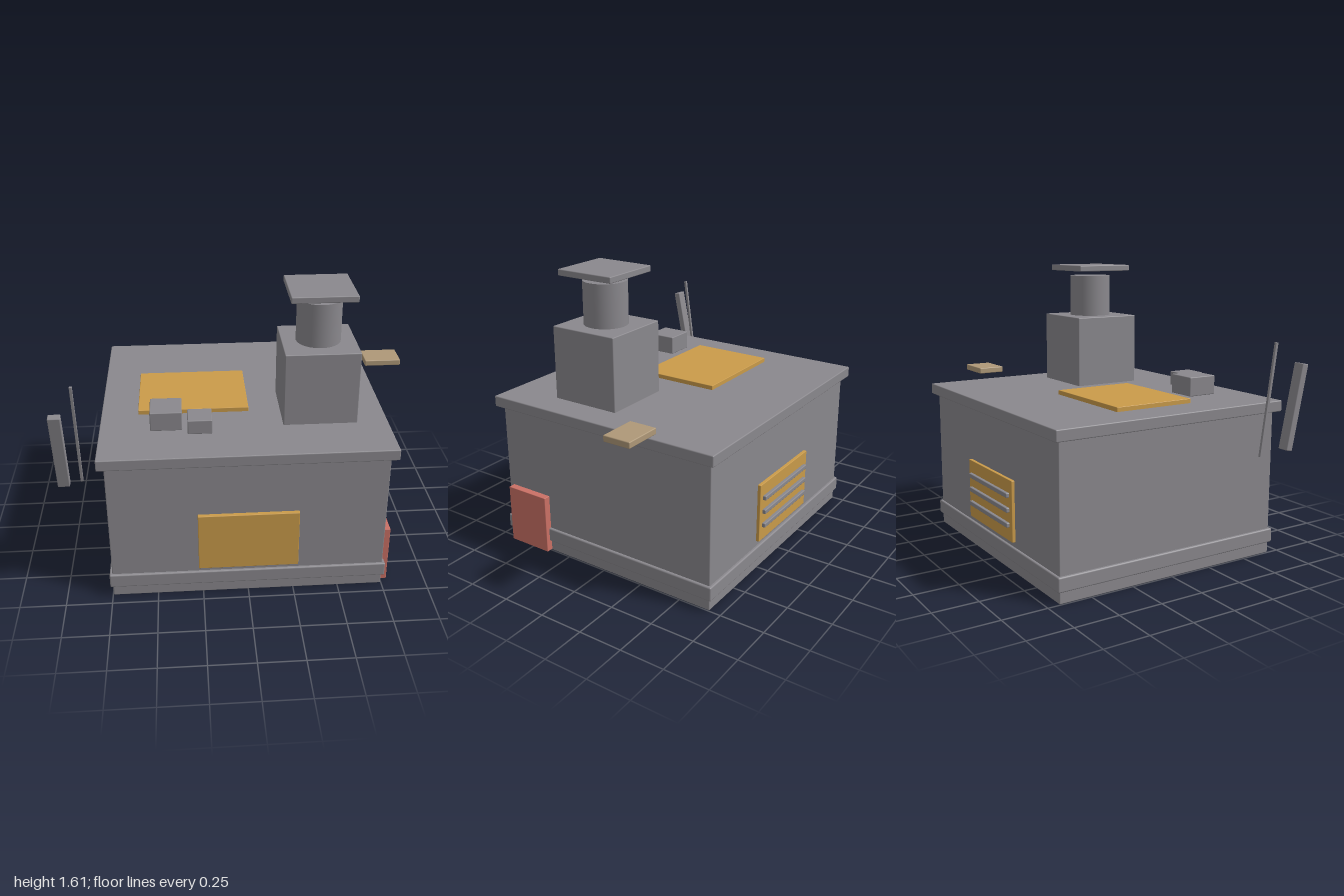
import * as THREE from 'three';
import { RoundedBoxGeometry } from 'three/addons/geometries/RoundedBoxGeometry.js';

export function createModel() {
  const model = new THREE.Group();
  model.name = 'rooftopUnit';

  const material = (name, color) => {
    const m = new THREE.MeshStandardMaterial({ color });
    m.name = name;
    return m;
  };
  const grey = material('grey metal', 0x8a888d);
  const ochre = material('ochre panel', 0xca9b4a);
  const red = material('red panel', 0xca7065);
  const tan = material('tan board', 0xae9878);

  // Softly bevelled box given by its limits on each axis
  const box = (name, mat, [x0, x1], [y0, y1], [z0, z1], bevel = 0.005) => {
    const geo = new RoundedBoxGeometry(x1 - x0, y1 - y0, z1 - z0, 2, bevel);
    const mesh = new THREE.Mesh(geo, mat);
    mesh.name = name;
    mesh.position.set((x0 + x1) / 2, (y0 + y1) / 2, (z0 + z1) / 2);
    model.add(mesh);
    return mesh;
  };

  // Main housing with plinth band and overhanging roof
  box('body', grey, [-0.746, 0.746], [0, 0.83], [-0.682, 0.682]);
  box('plinthBand', grey, [-0.761, 0.761], [0.065, 0.145], [-0.697, 0.697], 0.008);
  box('roofSlab', grey, [-0.782, 0.782], [0.825, 0.887], [-0.715, 0.715], 0.006);

  // Panels on the walls and roof
  box('frontPanel', ochre, [-0.272, 0.272], [0.175, 0.515], [0.675, 0.705], 0.003);
  box('backPanel', ochre, [-0.272, 0.272], [0.175, 0.515], [-0.7, -0.675], 0.003);
  box('roofPanel', ochre, [-0.578, 0.032], [0.88, 0.912], [-0.24, 0.236], 0.003);
  box('sidePanel', red, [0.73, 0.785], [0.005, 0.344], [0.382, 0.652], 0.003);

  // Vent slats across the back panel
  for (const y of [0.265, 0.348, 0.43]) {
    box('ventSlat', grey, [-0.242, 0.242], [y - 0.013, y + 0.013], [-0.718, -0.694]);
  }

  // Chimney: square base, round flue and raised cap
  box('chimneyBase', grey, [0.208, 0.612], [0.88, 1.298], [0.002, 0.408]);
  const flue = new THREE.Mesh(new THREE.CylinderGeometry(0.122, 0.122, 0.25, 40), grey);
  flue.name = 'chimneyFlue';
  flue.position.set(0.41, 1.415, 0.205);
  model.add(flue);
  box('chimneyCap', grey, [0.235, 0.585], [1.57, 1.605], [0.03, 0.38]);

  // Loose blocks over the roof and the tan board at the side
  box('largeBlock', grey, [-0.508, -0.338], [0.905, 1.012], [0.287, 0.46]);
  box('smallBlock', grey, [-0.31, -0.18], [0.918, 0.998], [0.395, 0.53]);
  box('sideBoard', tan, [0.78, 0.996], [0.92, 0.955], [-0.387, -0.228]);

  // Two leaning bars beside the housing
  const wideBar = box('wideBar', grey, [-1, -0.936], [0.659, 1.125], [0.595, 0.635]);
  wideBar.rotation.x = 0.2;
  const thinBar = box('thinBar', grey, [-0.895, -0.88], [0.618, 1.232], [0.504, 0.52], 0.002);
  thinBar.rotation.x = 0.14;

  return model;
}
